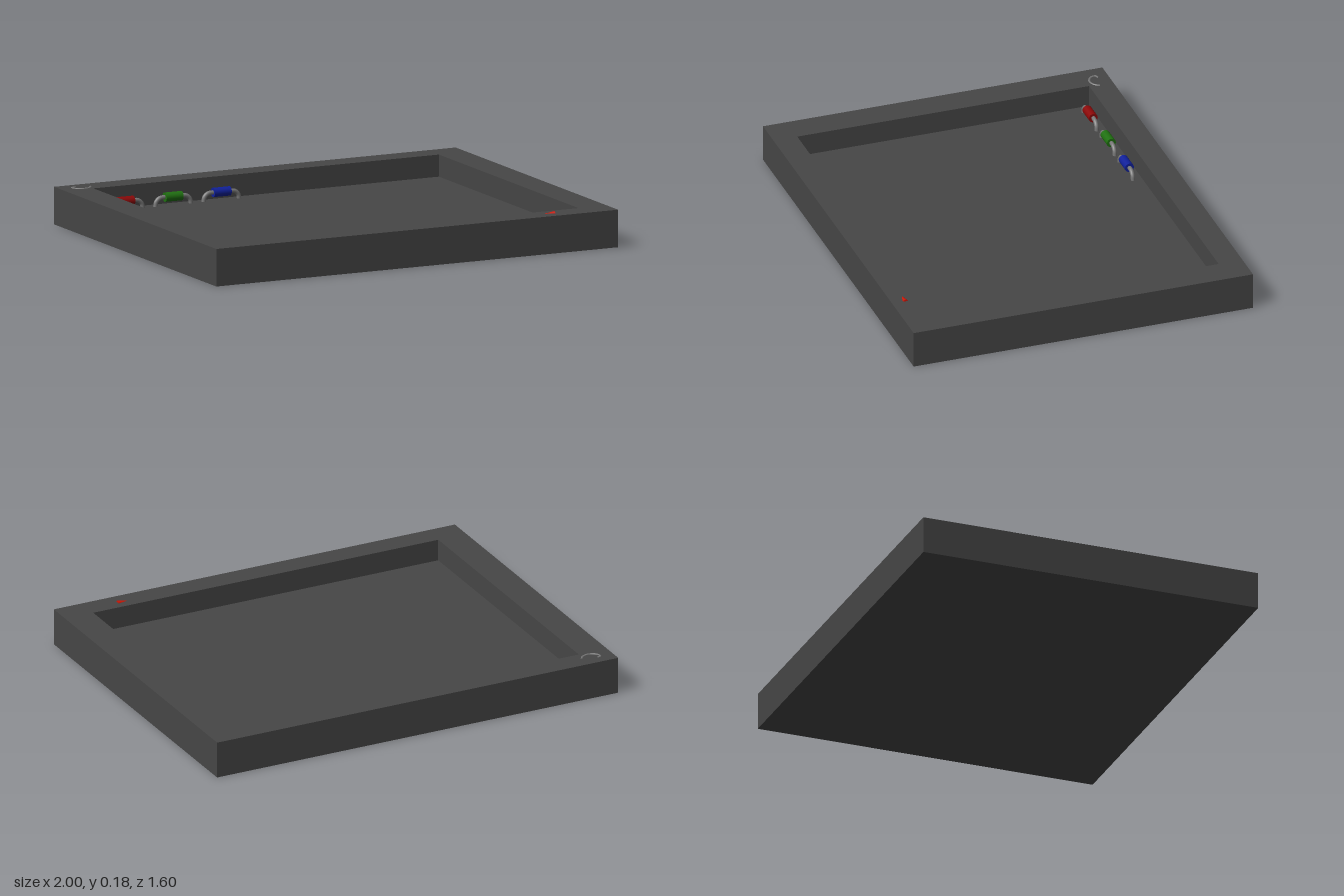
import * as THREE from 'three';

const paint = (color) => new THREE.MeshStandardMaterial({ color });

export function createModel() {
  const model = new THREE.Group();
  const dark = paint(0x464646);
  const steel = paint(0x777777);
  const add = (name, geometry, material, parent = model) => {
    const mesh = new THREE.Mesh(geometry, material);
    mesh.name = name;
    parent.add(mesh);
    return mesh;
  };
  const rectangle = (path, w, d) => path
    .moveTo(-w, -d).lineTo(w, -d).lineTo(w, d).lineTo(-w, d).closePath();

  // Tray: a rectangular rim around a sunken floor
  const outline = new THREE.Shape();
  rectangle(outline, 1, 0.8);
  const opening = new THREE.Path();
  rectangle(opening, 0.86, 0.688);
  outline.holes.push(opening);
  const rim = new THREE.ExtrudeGeometry(outline, { depth: 0.17, bevelEnabled: false });
  rim.rotateX(-Math.PI / 2);
  add('trayRim', rim, dark);
  add('trayFloor', new THREE.BoxGeometry(1.72, 0.07, 1.376), dark).position.y = 0.035;

  // Three coloured cylinders, each on a wire bent down to the floor
  const wire = new THREE.CatmullRomCurve3([
    [-0.089, 0.065], [-0.084, 0.09], [-0.066, 0.106], [-0.03, 0.108],
    [0.03, 0.108], [0.066, 0.106], [0.084, 0.09], [0.089, 0.065],
  ].map(([x, y]) => new THREE.Vector3(x, y, 0)));
  const wireGeometry = new THREE.TubeGeometry(wire, 40, 0.01, 12);
  const gripGeometry = new THREE.CylinderGeometry(0.021, 0.021, 0.084, 24);
  gripGeometry.rotateZ(Math.PI / 2);
  [['red', 0x8c0808], ['green', 0x1f7010], ['blue', 0x10209a]].forEach(([name, color], i) => {
    const handle = new THREE.Group();
    handle.name = name + 'Handle';
    handle.position.set(-0.725 + i * 0.24, 0, -0.645);
    add(name + 'Wire', wireGeometry, steel, handle);
    add(name + 'Grip', gripGeometry, paint(color), handle).position.y = 0.108;
    model.add(handle);
  });

  // Curved wire hook set into the rim's back corner
  const hook = new THREE.CatmullRomCurve3([
    [-0.918, -0.752], [-0.938, -0.746], [-0.934, -0.722], [-0.9, -0.704],
    [-0.868, -0.713], [-0.85, -0.735],
  ].map(([x, z]) => new THREE.Vector3(x, 0.167, z)));
  add('wireHook', new THREE.TubeGeometry(hook, 32, 0.006, 8), steel);

  // Small red pointer half sunk in the front rim
  const pointer = new THREE.ConeGeometry(0.013, 0.075, 16);
  pointer.rotateZ(Math.PI / 2);
  add('pointer', pointer, paint(0xd01808)).position.set(0.677, 0.165, 0.737);

  return model;
}
